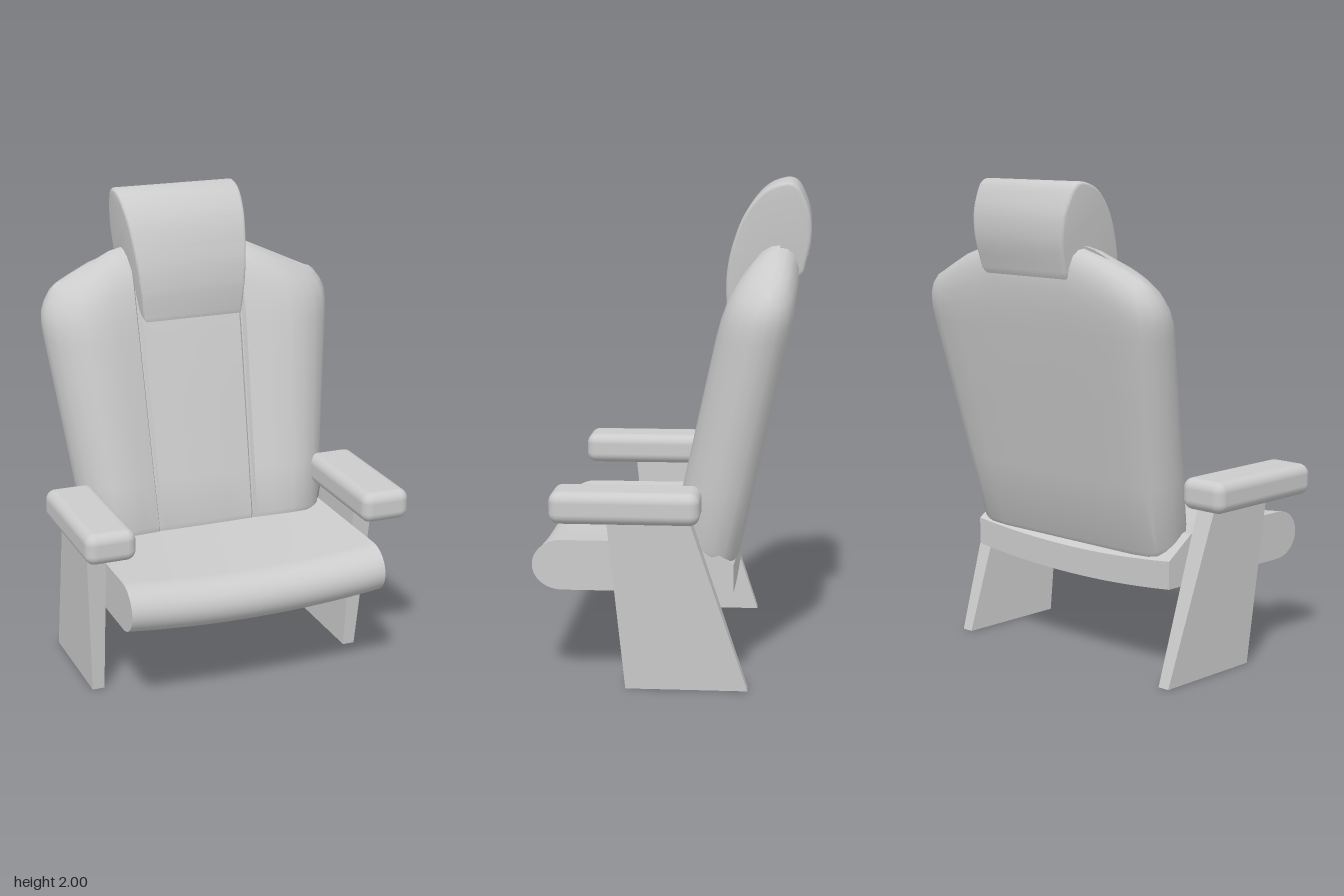
import * as THREE from 'three';
import { toCreasedNormals } from 'three/addons/utils/BufferGeometryUtils.js';
import { RoundedBoxGeometry } from 'three/addons/geometries/RoundedBoxGeometry.js';

const material = new THREE.MeshStandardMaterial({ color: 0xcccccc });

function addMesh(parent, name, geometry) {
  const mesh = new THREE.Mesh(geometry, material);
  mesh.name = name;
  parent.add(mesh);
  return mesh;
}

// Extrude a side profile, given in (z, y), across the width, centred on x = 0
function extrudeAcross(shape, width, options = {}) {
  const geometry = new THREE.ExtrudeGeometry(shape, { depth: width, bevelEnabled: false, curveSegments: 16, ...options });
  geometry.translate(0, 0, -width / 2);
  geometry.rotateY(-Math.PI / 2);
  return geometry;
}

function moveVertices(geometry, rule) {
  const p = geometry.attributes.position;
  const v = new THREE.Vector3();
  for (let i = 0; i < p.count; i++) {
    v.fromBufferAttribute(p, i);
    rule(v);
    p.setXYZ(i, v.x, v.y, v.z);
  }
  return geometry;
}

// Seat: rounded front, chamfered rear, sagging in the middle
function seatGeometry() {
  const shape = new THREE.Shape();
  shape.moveTo(-0.26, 0.39);
  shape.lineTo(0.43, 0.39);
  shape.absellipse(0.43, 0.4925, 0.12, 0.1025, -Math.PI / 2, Math.PI / 2, false);
  shape.lineTo(-0.13, 0.595);
  shape.lineTo(-0.26, 0.505);
  shape.closePath();
  const geometry = extrudeAcross(shape, 1.12, { steps: 20 });
  moveVertices(geometry, (v) => { v.y -= 0.032 * (1 - (v.x / 0.56) ** 2); });
  return toCreasedNormals(geometry, 0.5);
}

// Backrest: padded cross-section lofted up a leaning line, rounded at the top
function backrestGeometry() {
  // half section from the middle of the front round to the middle of the back: [x, depth]
  const half = [
    [0, 0.25], [0.1, 0.249], [0.205, 0.243], [0.214, 0.23], [0.221, 0.23], [0.229, 0.25], [0.3, 0.273],
    [0.38, 0.29], [0.43, 0.28], [0.475, 0.255], [0.515, 0.21], [0.54, 0.155], [0.545, 0.11],
    [0.535, 0.06], [0.51, 0.025], [0.47, 0.008], [0.38, 0], [0.2, 0], [0, 0],
  ];
  const loop = [...half, ...half.slice(1, -1).reverse().map(([x, d]) => [-x, d])];
  // rows: [height, half width, arch, flattening, slant]
  const rows = [
    [0.5, 0.535, 0, 1, 0.33], [0.5, 0.535, 0, 0.06, 0.33], [0.52, 0.542, 0, 0, 0.33], [0.8, 0.572, 0, 0, 0],
    [1.1, 0.61, 0, 0, 0], [1.4, 0.648, 0, 0, 0], [1.46, 0.654, 0.2, 0.02, 0], [1.51, 0.65, 0.5, 0.08, 0],
    [1.55, 0.636, 0.8, 0.22, 0], [1.585, 0.612, 0.95, 0.48, 0], [1.6, 0.592, 1, 0.75, 0], [1.605, 0.575, 1, 1, 0],
  ];
  const positions = [];
  const index = [];
  const n = loop.length;
  rows.forEach(([height, width, arch, flat, slant], r) => {
    loop.forEach(([bx, bd], i) => {
      const e = Math.abs(bx) / 0.545;
      const x = bx * (1 + (width / 0.545 - 1) * e) + 0.026 * e ** 3;
      const d = THREE.MathUtils.lerp(bd, 0.12, flat);
      const rise = 0.15 * THREE.MathUtils.clamp((0.6 - Math.abs(x)) / 0.33, 0, 1);
      const y = height + arch * rise + slant * d;
      positions.push(x, y, -0.27 - 0.22 * (y - 0.49) + d);
      if (r < rows.length - 1) {
        const a = r * n + i, b = r * n + (i + 1) % n;
        index.push(a, b, a + n, b, b + n, a + n);
      }
    });
  });
  const geometry = new THREE.BufferGeometry();
  geometry.setAttribute('position', new THREE.Float32BufferAttribute(positions, 3));
  geometry.setIndex(index);
  return toCreasedNormals(geometry, 0.7);
}

// Headrest: teardrop side profile, wider towards the top
function headrestGeometry() {
  const bevel = 0.014;
  const outline = [
    [-0.225, 1.485], [-0.222, 1.6], [-0.24, 1.72], [-0.29, 1.86], [-0.36, 1.95], [-0.43, 1.985],
    [-0.48, 1.98], [-0.515, 1.92], [-0.535, 1.85], [-0.535, 1.76], [-0.51, 1.65],
  ].map(([z, y]) => new THREE.Vector2(z, y));
  const shape = new THREE.Shape();
  shape.moveTo(outline[0].x, outline[0].y);
  shape.splineThru(outline.slice(1));
  shape.lineTo(-0.46, 1.6);
  shape.closePath();
  const geometry = extrudeAcross(shape, 2 - 8 * bevel, {
    curveSegments: 40, bevelEnabled: true, bevelThickness: 4 * bevel, bevelSize: bevel, bevelSegments: 3,
  });
  moveVertices(geometry, (v) => { v.x *= 0.222 + 0.056 * (v.y - 1.47) / 0.53; });
  return toCreasedNormals(geometry, 0.6);
}

// Leg: slanted plank, thicker towards the top on its outer face
function legGeometry(side) {
  const shape = new THREE.Shape([[0.17, 0], [0.24, 0.71], [-0.085, 0.71], [-0.32, 0]].map(([z, y]) => new THREE.Vector2(z, y)));
  const geometry = extrudeAcross(shape, 1);
  moveVertices(geometry, (v) => {
    const outer = v.x * side > 0;
    v.x = side * (outer ? 0.612 + 0.035 * v.y / 0.7 : 0.56);
  });
  return toCreasedNormals(geometry, 0.3);
}

export function createModel() {
  const chair = new THREE.Group();
  chair.name = 'chair';
  addMesh(chair, 'seat', seatGeometry());
  addMesh(chair, 'backrest', backrestGeometry());
  addMesh(chair, 'headrest', headrestGeometry());

  // Legs and armrests on both sides
  for (const [label, side] of [['left', 1], ['right', -1]]) {
    addMesh(chair, label + 'Leg', legGeometry(side));
    const arm = addMesh(chair, label + 'Armrest', new RoundedBoxGeometry(0.212, 0.13, 0.595, 5, 0.042));
    arm.position.set(side * 0.606, 0.755, 0.165);
  }
  return chair;
}
